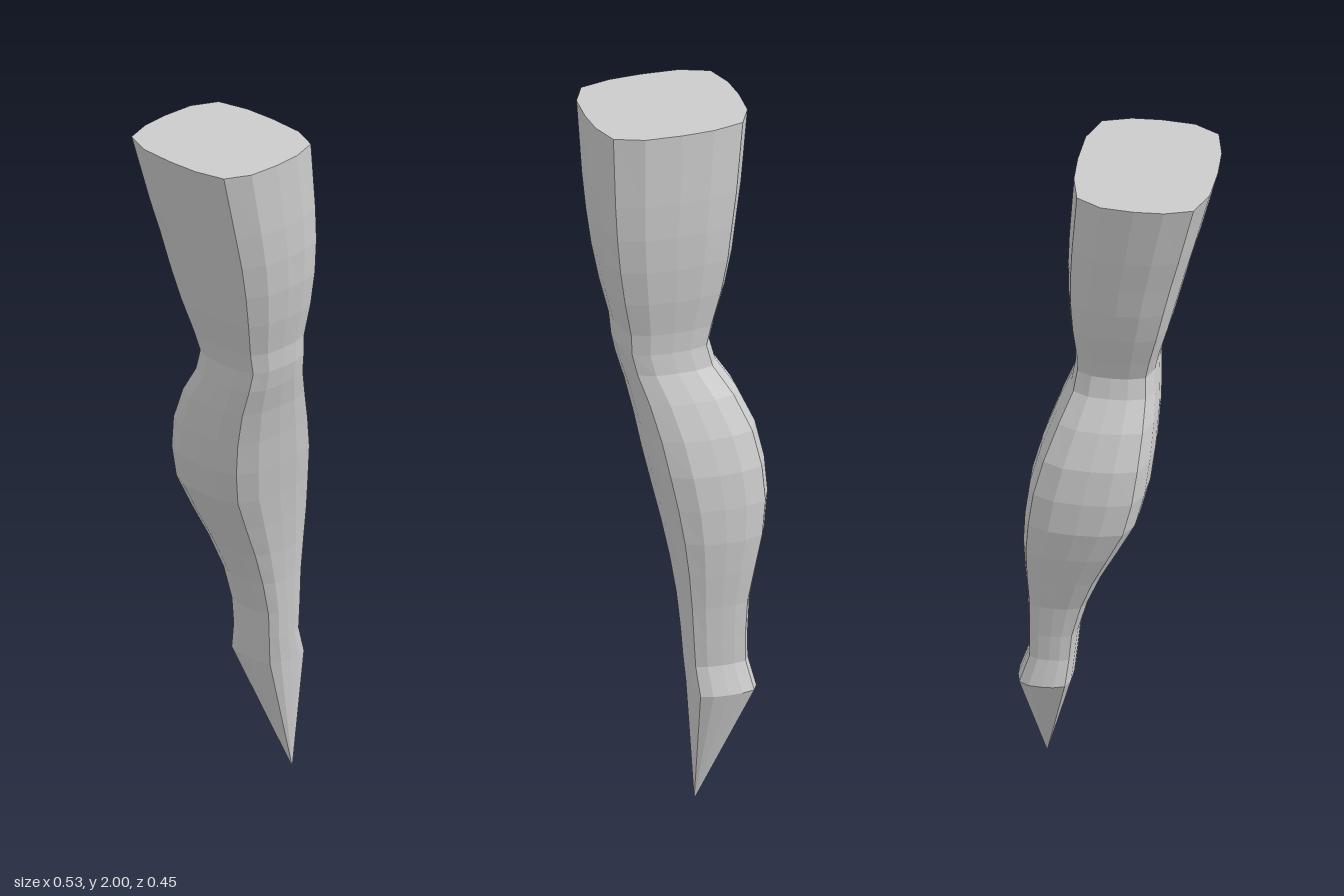
import * as THREE from 'three';

// Quarter of the rounded-square outline, mirrored round to 16 points
const QUARTER = [[1, 0], [0.98, 0.48], [0.82, 0.85], [0.42, 0.97]];
const OUTLINE = [];
for (let q = 0; q < 4; q++) {
  for (const [u, v] of QUARTER) {
    // Alternate quadrants run backwards so the outline stays in angular order
    OUTLINE.push([[u, v], [-v, u], [-u, -v], [v, -u]][q]);
  }
}

// Leg sections from thigh to ankle: y, xMin, xMax, zMin, zMax
const SECTIONS = [
  [2.0, -0.27, 0.12, -0.213, 0.228],
  [1.8, -0.22, 0.135, -0.187, 0.225],
  [1.7, -0.193, 0.14, -0.17, 0.22],
  [1.6, -0.168, 0.14, -0.155, 0.21],
  [1.5, -0.143, 0.135, -0.133, 0.193],
  [1.4, -0.115, 0.125, -0.103, 0.17],
  [1.34, -0.102, 0.125, -0.087, 0.166],
  [1.28, -0.106, 0.135, -0.102, 0.153],
  [1.2, -0.11, 0.17, -0.155, 0.13],
  [1.1, -0.106, 0.207, -0.2, 0.108],
  [1.0, -0.095, 0.233, -0.22, 0.09],
  [0.9, -0.07, 0.245, -0.225, 0.07],
  [0.8, -0.02, 0.25, -0.21, 0.052],
  [0.7, 0.03, 0.246, -0.185, 0.037],
  [0.6, 0.07, 0.24, -0.162, 0.026],
  [0.5, 0.098, 0.238, -0.155, 0.02],
  [0.42, 0.106, 0.237, -0.155, 0.015],
  [0.34, 0.113, 0.265, -0.173, 0.01],
];
const TIP = [0.203, 0.005, 0.0];

function ring([y, x0, x1, z0, z1]) {
  return OUTLINE.map(([u, v]) => [
    (x0 + x1) / 2 + (u * (x1 - x0)) / 2,
    y,
    (z0 + z1) / 2 + (v * (z1 - z0)) / 2,
  ]);
}

function mesh(name, triangles) {
  const geometry = new THREE.BufferGeometry();
  geometry.setAttribute('position', new THREE.Float32BufferAttribute(triangles.flat(2), 3));
  geometry.computeVertexNormals();
  const part = new THREE.Mesh(geometry, new THREE.MeshStandardMaterial({ color: 0xcccccc, flatShading: true }));
  part.name = name;
  return part;
}

// Skin between consecutive rings
function loft(rings) {
  const triangles = [];
  const n = OUTLINE.length;
  for (let i = 0; i + 1 < rings.length; i++) {
    for (let j = 0; j < n; j++) {
      const k = (j + 1) % n;
      const [a, b, c, d] = [rings[i][j], rings[i][k], rings[i + 1][j], rings[i + 1][k]];
      triangles.push([a, b, c], [b, d, c]);
    }
  }
  return triangles;
}

// Fan from a ring to one point, facing up or down
function fan(points, apex, up) {
  return points.map((p, j) => {
    const q = points[(j + 1) % points.length];
    return up ? [apex, q, p] : [p, q, apex];
  });
}

export function createModel() {
  const group = new THREE.Group();
  group.name = 'leg';
  const rings = SECTIONS.map(ring);
  const knee = 6;

  group.add(mesh('thigh', loft(rings.slice(0, knee + 1))));
  group.add(mesh('calf', loft(rings.slice(knee))));
  group.add(mesh('thighCap', fan(rings[0], [-0.075, 2, 0.007], true)));
  group.add(mesh('pointedFoot', fan(rings[rings.length - 1], TIP, false)));
  return group;
}
